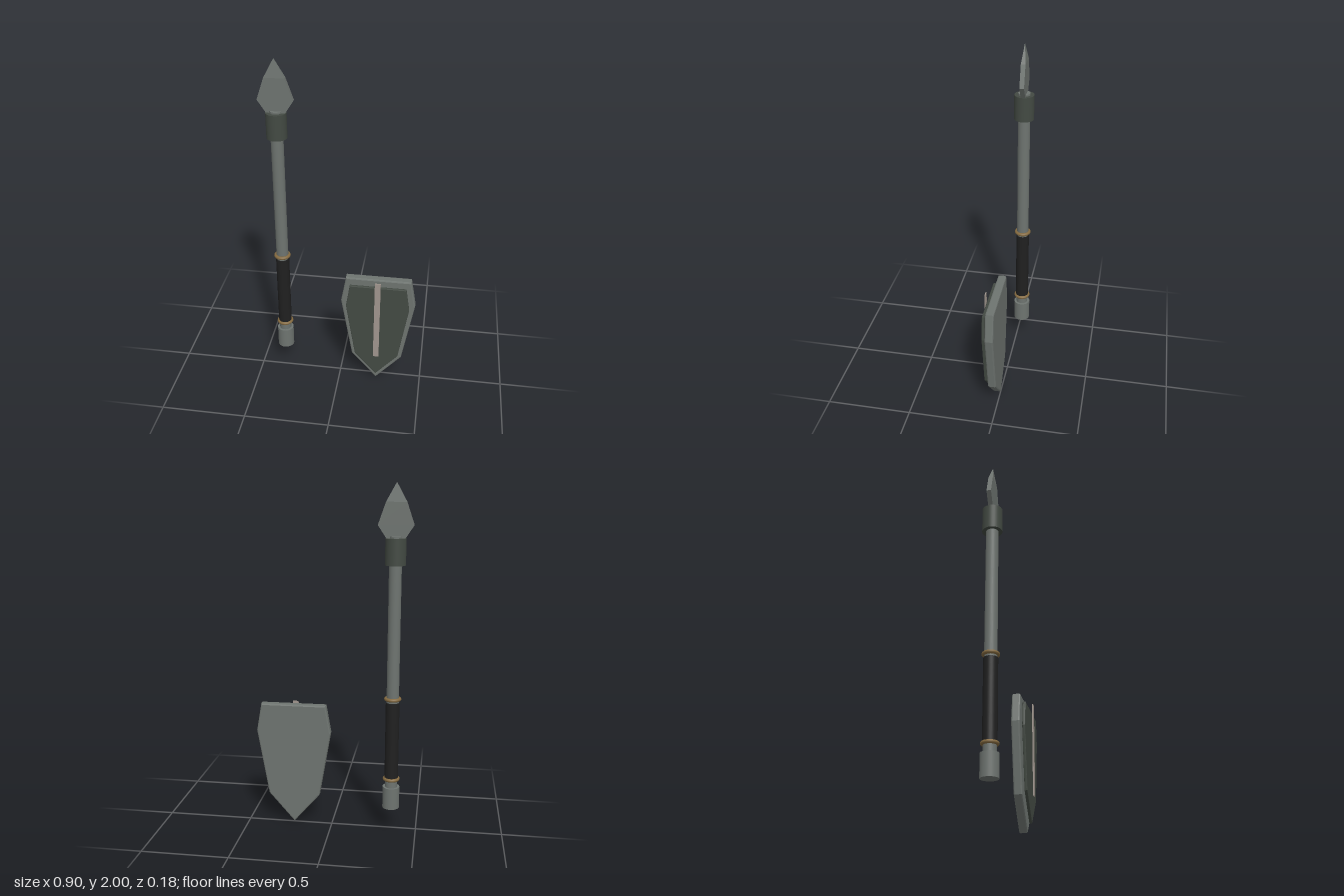
import * as THREE from 'three';
import { ConvexGeometry } from 'three/addons/geometries/ConvexGeometry.js';

const material = (name, color) => {
  const m = new THREE.MeshStandardMaterial({ color });
  m.name = name;
  return m;
};

export function createModel() {
  const steel = material('grey steel', 0x6e7470);
  const darkMetal = material('dark green metal', 0x434a43);
  const leather = material('black leather', 0x202020);
  const brass = material('dull brass', 0x846a40);
  const pale = material('pale trim', 0xa0968e);

  const model = new THREE.Group();
  const add = (parent, name, geometry, mat) => {
    const mesh = new THREE.Mesh(geometry, mat);
    mesh.name = name;
    parent.add(mesh);
    return mesh;
  };

  // Spear, built around its own axis
  const spear = new THREE.Group();
  spear.name = 'spear';
  spear.position.set(-0.353, 0, -0.032);
  model.add(spear);

  const rod = (name, radius, y0, y1, mat) => {
    const mesh = add(spear, name, new THREE.CylinderGeometry(radius, radius, y1 - y0, 32), mat);
    mesh.position.y = (y0 + y1) / 2;
  };
  rod('shaft', 0.035, 0.2, 1.715, steel);
  rod('pommel', 0.049, 0.148, 0.276, steel);
  rod('grip', 0.039, 0.335, 0.785, leather);
  rod('socket', 0.057, 1.56, 1.705, darkMetal);

  for (const [name, y] of [['lowerRing', 0.325], ['upperRing', 0.806]]) {
    const ring = add(spear, name, new THREE.TorusGeometry(0.039, 0.01, 12, 32), brass);
    ring.rotation.x = Math.PI / 2;
    ring.position.y = y;
  }

  // Leaf-shaped blade: flat body, wedge running to the point
  const bladePoints = [new THREE.Vector3(0, 2, 0)];
  for (const [x, y] of [[0.056, 1.897], [0.098, 1.775], [0.035, 1.68]])
    for (const sx of [-1, 1])
      for (const sz of [-1, 1]) bladePoints.push(new THREE.Vector3(sx * x, y, sz * 0.013));
  add(spear, 'blade', new ConvexGeometry(bladePoints), steel);

  // Shield: stacked plates, each a mirrored half outline with bevelled edges
  const shield = new THREE.Group();
  shield.name = 'shield';
  shield.position.x = 0.228;
  model.add(shield);

  const plate = (name, half, tipY, z0, z1, bevel, mat) => {
    const outline = [
      new THREE.Vector2(0, tipY),
      ...half.map(([x, y]) => new THREE.Vector2(x, y)),
      ...half.slice().reverse().map(([x, y]) => new THREE.Vector2(-x, y)),
    ];
    const geometry = new THREE.ExtrudeGeometry(new THREE.Shape(outline), {
      depth: z1 - z0 - 2 * bevel,
      bevelThickness: bevel,
      bevelSize: bevel,
      bevelOffset: -bevel,
      bevelSegments: 2,
    });
    geometry.translate(0, 0, z0 + bevel);
    add(shield, name, geometry, mat);
  };
  plate('shieldBody', [[0.152, 0.175], [0.22, 0.567], [0.191, 0.734]], 0, -0.002, 0.047, 0.008, steel);
  plate('shieldPanel', [[0.131, 0.2], [0.187, 0.55], [0.165, 0.695]], 0.05, 0.054, 0.071, 0.004, darkMetal);

  // Central strip standing just off the panel
  const strip = add(shield, 'shieldStrip', new THREE.BoxGeometry(0.034, 0.535, 0.006), pale);
  strip.position.set(0, 0.466, 0.083);

  return model;
}
